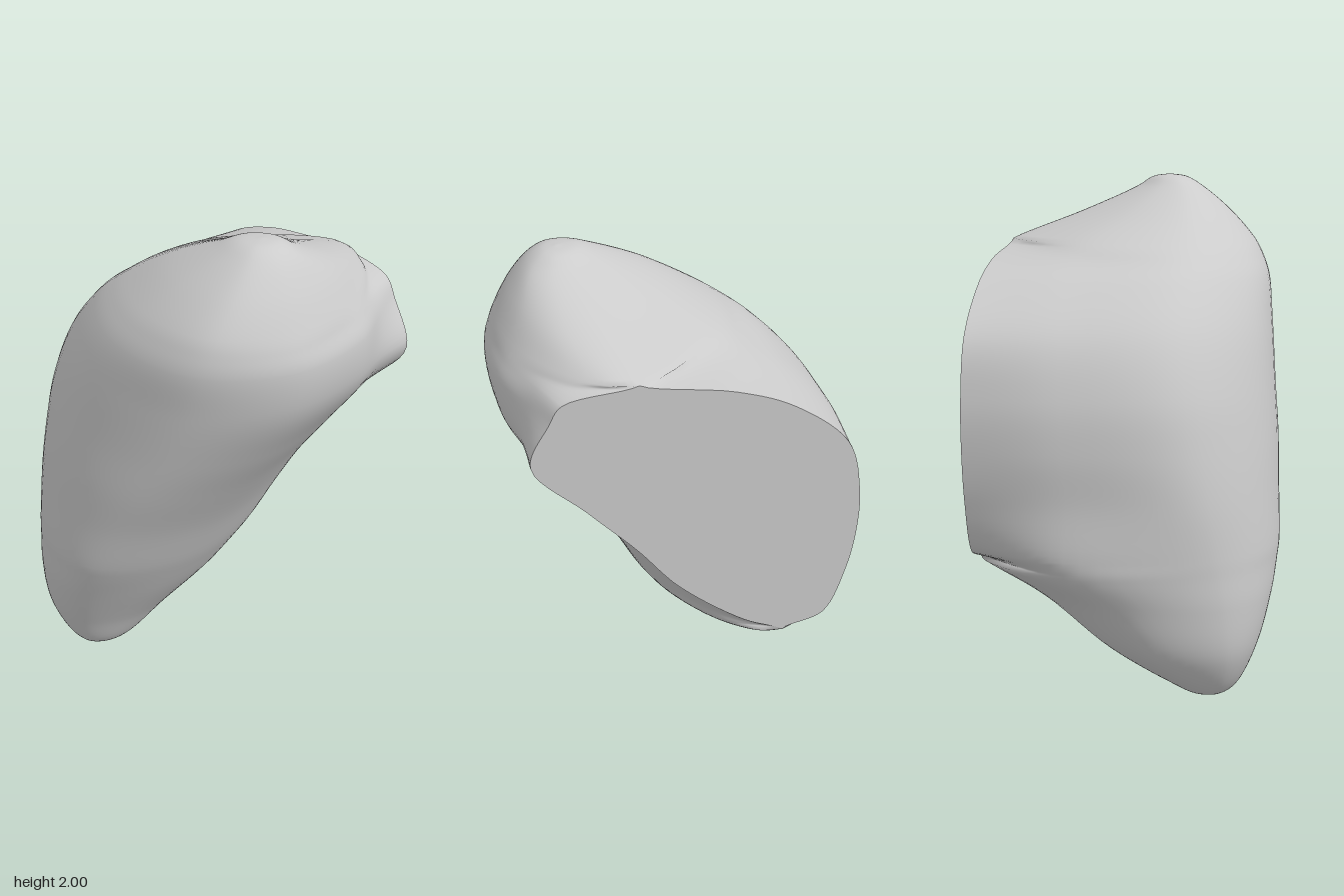
import * as THREE from 'three';
import { mergeVertices } from 'three/addons/utils/BufferGeometryUtils.js';

// Depth of the vertical cut plane at a given x
const planeZ = (x) => -0.506 + 0.536 * x;

// Horizontal sections of the boulder, bottom to top:
// y, cut start x, cut end x, distance of back in front of cut, left x z, front x z, right x z
const SECTIONS = [
  [0.05, -0.46, -0.46, 0.85, -0.6, 0.24, -0.47, 0.36, -0.33, 0.22],
  [0.2, -0.39, -0.39, 0.575, -0.69, 0.22, -0.47, 0.435, -0.19, 0.13],
  [0.4, -0.26, -0.26, 0.275, -0.72, 0.19, -0.42, 0.515, -0.01, 0.07],
  [0.53, -0.14, -0.14, 0, -0.725, 0.16, -0.36, 0.56, 0.085, 0.03],
  [0.6, -0.28, 0.0, 0, -0.728, 0.145, -0.33, 0.58, 0.13, 0.02],
  [0.8, -0.35, 0.23, 0, -0.73, 0.1, -0.23, 0.61, 0.235, 0.03],
  [1.0, -0.38, 0.375, 0, -0.715, 0.07, -0.12, 0.645, 0.345, 0.1],
  [1.2, -0.38, 0.54, 0, -0.68, 0.06, -0.01, 0.67, 0.475, 0.18],
  [1.42, -0.33, 0.715, 0, -0.59, 0.08, 0.08, 0.695, 0.605, 0.25],
  [1.6, -0.14, 0.65, 0, -0.45, 0.13, 0.14, 0.71, 0.625, 0.24],
  [1.68, 0.05, 0.605, 0, -0.36, 0.17, 0.17, 0.695, 0.595, 0.23],
  [1.74, 0.36, 0.36, 0, -0.28, 0.2, 0.19, 0.67, 0.565, 0.22],
  [1.85, 0.33, 0.33, 0.31, -0.11, 0.27, 0.23, 0.585, 0.495, 0.25],
  [1.95, 0.28, 0.28, 0.565, 0.09, 0.33, 0.26, 0.475, 0.4, 0.32],
];
const BOTTOM = new THREE.Vector3(-0.47, 0, 0.25);
const TOP = new THREE.Vector3(0.27, 2, 0.34);

// Control points of one section, with rounded corners between its extremes
function sectionPoints([y, xa, xb, off, xl, zl, xf, zf, xr, zr]) {
  const za = planeZ(xa) + off, zb = planeZ(xb) + off;
  const k = 0.71 - 0.13 * Math.min(1, (xb - xa) / 0.6); // squarer where the cut is narrow
  const corner = (sideX, sideZ, endX, endZ, f) =>
    [THREE.MathUtils.lerp(endX, sideX, f), THREE.MathUtils.lerp(sideZ, endZ, f)];
  return [
    [xa, za], corner(xl, zl, xa, za, k),
    [xl, zl], corner(xl, zl, xf, zf, 0.67),
    [xf, zf], corner(xr, zr, xf, zf, 0.68),
    [xr, zr], corner(xr, zr, xb, zb, k), [xb, zb],
  ].map(([x, z]) => new THREE.Vector3(x, y, z));
}

// Small ring that blunts a tip
const bluntRing = (section, tip) => section.map((p) =>
  p.clone().lerp(tip, 0.48).setY(THREE.MathUtils.lerp(tip.y, p.y, 0.22)));

// Skin rows of points into a surface
function skin(rows) {
  const n = rows[0].length, index = [];
  for (let j = 0; j < rows.length - 1; j++) {
    for (let i = 0; i < n - 1; i++) {
      const a = j * n + i, b = a + 1, c = a + n, d = c + 1;
      index.push(a, b, d, a, d, c);
    }
  }
  let geometry = new THREE.BufferGeometry().setFromPoints(rows.flat());
  geometry.setIndex(index);
  geometry = mergeVertices(geometry, 1e-4);
  geometry.computeVertexNormals();
  return geometry;
}

export function createModel() {
  const group = new THREE.Group();
  group.name = 'boulder';
  const material = new THREE.MeshStandardMaterial({ color: 0xcccccc, roughness: 0.9 });

  // Smooth curves running up the boulder through every section
  const sections = SECTIONS.map(sectionPoints);
  const rings = [bluntRing(sections[0], BOTTOM), ...sections, bluntRing(sections.at(-1), TOP)];
  const columns = sections[0].map((_, i) =>
    new THREE.CatmullRomCurve3([BOTTOM, ...rings.map((r) => r[i]), TOP]));

  // Rows that touch the cut stay open at the back, all others close smoothly
  const steps = 7, around = 64, rows = [], cutRows = [];
  const rowCount = (rings.length + 1) * steps;
  const firstCut = (SECTIONS.findIndex((s) => s[3] === 0) + 2) * steps;
  const lastCut = (SECTIONS.findLastIndex((s) => s[3] === 0) + 2) * steps;
  for (let j = 0; j <= rowCount; j++) {
    const points = columns.map((c) => c.getPoint(j / rowCount));
    const open = j > firstCut && j < lastCut;
    if (open) {
      for (const p of [points[0], points.at(-1)]) p.z = planeZ(p.x);
    } else {
      points.pop();
    }
    const row = new THREE.CatmullRomCurve3(points, !open).getPoints(around);
    for (const p of row) p.z = Math.max(p.z, planeZ(p.x));
    rows.push(row);
    if (j >= firstCut && j <= lastCut) cutRows.push([row[around].clone(), row[0].clone()]);
  }

  // Rounded stone body
  const body = new THREE.Mesh(skin(rows), material);
  body.name = 'stoneBody';
  group.add(body);

  // Flat cut face at the back
  const cut = new THREE.Mesh(skin(cutRows), material);
  cut.name = 'cutFace';
  group.add(cut);
  return group;
}
